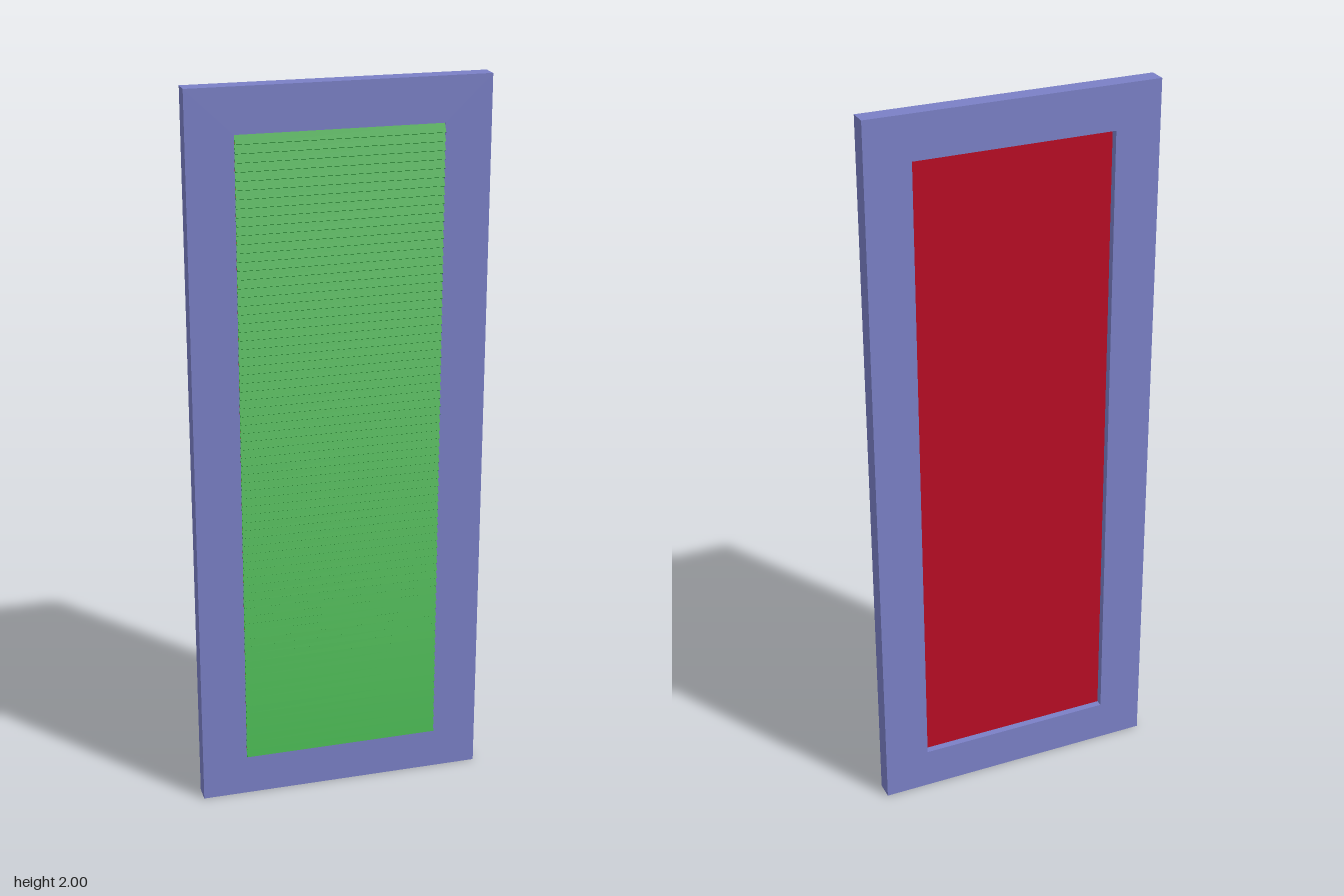
import * as THREE from 'three';

const W = 0.8, H = 2;                       // outer frame size
const X = 0.275, Y0 = 0.115, Y1 = 1.88;     // opening limits
const BACK = -0.03, FRONT = 0.02;

function part(name, geometry, color) {
  const mesh = new THREE.Mesh(geometry, new THREE.MeshStandardMaterial({ color }));
  mesh.name = name;
  return mesh;
}

function rect(Type, x0, y0, x1, y1) {
  return new Type([
    new THREE.Vector2(x0, y0), new THREE.Vector2(x1, y0),
    new THREE.Vector2(x1, y1), new THREE.Vector2(x0, y1),
  ]);
}

export function createModel() {
  const model = new THREE.Group();
  model.name = 'louvredShutter';

  // Frame with a rectangular opening
  const outline = rect(THREE.Shape, -W / 2, 0, W / 2, H);
  outline.holes.push(rect(THREE.Path, -X, Y0, X, Y1));
  const frame = part('frame', new THREE.ExtrudeGeometry(outline, { depth: FRONT - BACK, bevelEnabled: false }), 0x7a80c6);
  frame.position.z = BACK;
  model.add(frame);

  // Backing panel, recessed behind the slats
  const panel = part('backPanel', new THREE.BoxGeometry(2 * X, Y1 - Y0, 0.01), 0xb80c24);
  panel.position.set(0, (Y0 + Y1) / 2, -0.005);
  model.add(panel);

  // Louvre slats, tilted with the lower edge outwards
  const slats = new THREE.Group();
  slats.name = 'slats';
  const count = 76, first = 0.129, last = 1.868;
  const slatGeometry = new THREE.BoxGeometry(2 * X, 0.026, 0.003);
  for (let i = 0; i < count; i++) {
    const slat = part('slat', slatGeometry, 0x109c26);
    slat.position.set(0, first + (last - first) * i / (count - 1), 0.0205);
    slat.rotation.x = -0.5;
    slats.add(slat);
  }
  model.add(slats);

  return model;
}
